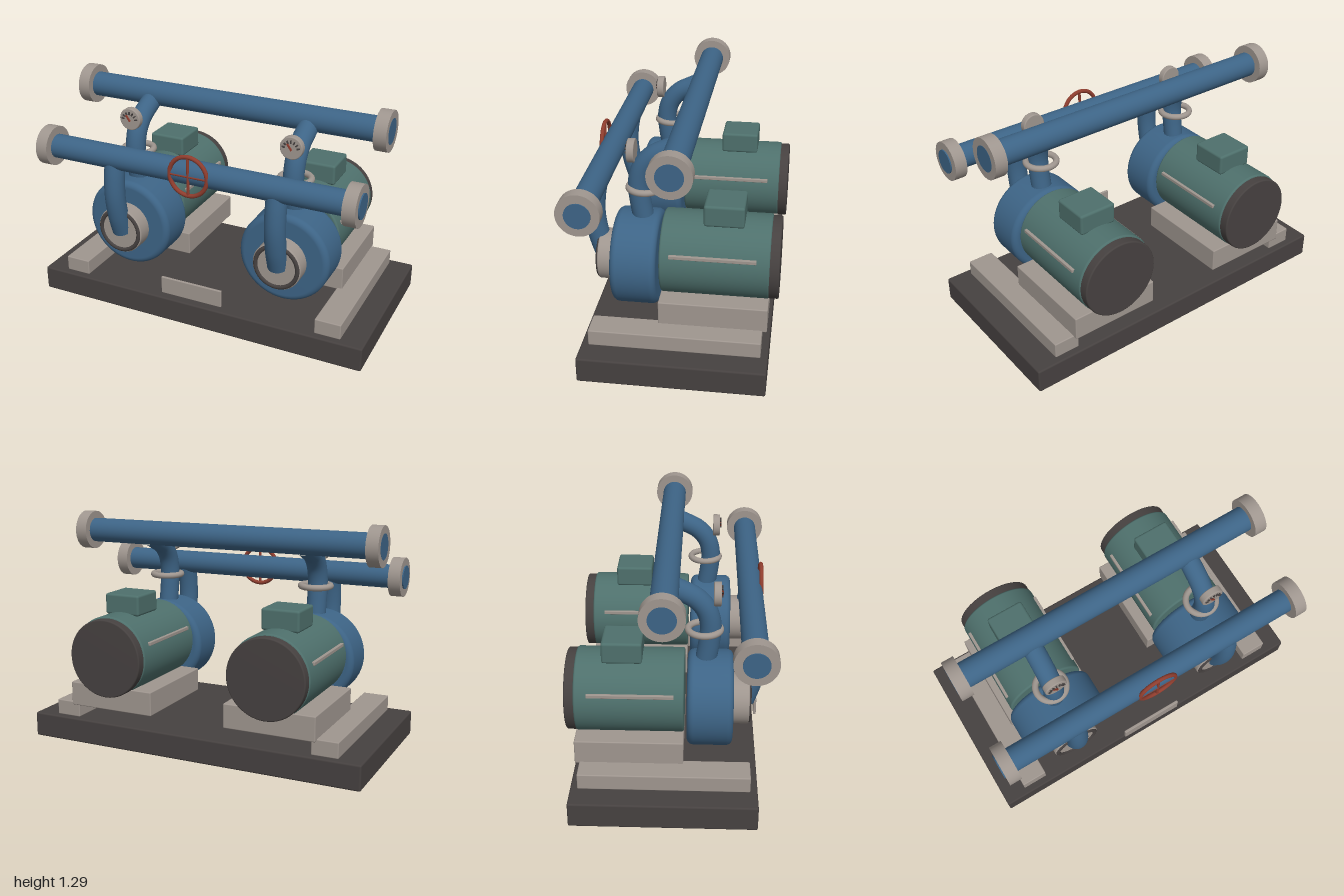
import * as THREE from 'three';
import { RoundedBoxGeometry } from 'three/addons/geometries/RoundedBoxGeometry.js';

const paint = (name, color) => Object.assign(new THREE.MeshStandardMaterial({ color }), { name });
const blue = paint('pipe blue', 0x3d6486);
const green = paint('motor green', 0x4e706c);
const grey = paint('warm grey', 0x9f968f);
const dark = paint('dark iron', 0x464140);
const red = paint('valve red', 0x8f3d2e);

function add(parent, name, geometry, material, x = 0, y = 0, z = 0) {
  const mesh = new THREE.Mesh(geometry, material);
  mesh.name = name;
  mesh.position.set(x, y, z);
  parent.add(mesh);
  return mesh;
}

// Box given by its limits on each axis
function box(parent, name, material, [x0, x1], [y0, y1], [z0, z1], r = 0.006) {
  const g = new RoundedBoxGeometry(x1 - x0, y1 - y0, z1 - z0, 2, r);
  return add(parent, name, g, material, (x0 + x1) / 2, (y0 + y1) / 2, (z0 + z1) / 2);
}

// Solid drum lying along z, with rounded rims
function drum(parent, name, material, radius, y, z0, z1, bevel) {
  const h = z1 - z0, pts = [new THREE.Vector2(0, 0)];
  for (let i = 0; i <= 6; i++) {
    const a = (i / 6) * Math.PI / 2;
    pts.push(new THREE.Vector2(radius - bevel + bevel * Math.sin(a), bevel - bevel * Math.cos(a)));
  }
  for (let i = 0; i <= 6; i++) {
    const a = (i / 6) * Math.PI / 2;
    pts.push(new THREE.Vector2(radius - bevel + bevel * Math.cos(a), h - bevel + bevel * Math.sin(a)));
  }
  pts.push(new THREE.Vector2(0, h));
  const mesh = add(parent, name, new THREE.LatheGeometry(pts, 56), material, 0, y, z0);
  mesh.rotation.x = Math.PI / 2;
  return mesh;
}

// Bent pipe in the yz plane, with a disc closing its first end
function bentPipe(parent, name, radius, points) {
  const curve = new THREE.CatmullRomCurve3(points.map(([y, z]) => new THREE.Vector3(0, y, z)));
  add(parent, name, new THREE.TubeGeometry(curve, 32, radius, 24), blue);
  const start = curve.getPoint(0);
  const cap = add(parent, name + 'End', new THREE.CircleGeometry(radius, 24), blue, start.x, start.y, start.z);
  cap.lookAt(start.clone().sub(curve.getTangent(0)));
}

// Long pipe along x with a flange at each end
function header(parent, name, y, z, radius, halfLength) {
  const group = new THREE.Group();
  group.name = name;
  group.position.set(0, y, z);
  parent.add(group);
  add(group, 'pipe', new THREE.CylinderGeometry(radius, radius, halfLength * 2, 40), blue).rotation.z = Math.PI / 2;
  for (const s of [-1, 1]) {
    add(group, 'flange', new THREE.CylinderGeometry(0.113, 0.113, 0.07, 48), grey, s * 0.9).rotation.z = Math.PI / 2;
  }
}

function gauge() {
  const group = new THREE.Group();
  group.name = 'pressureGauge';
  drum(group, 'gaugeCase', grey, 0.064, 0, -0.02, 0.02, 0.006);
  // Tick marks over the upper arc
  for (let i = 0; i < 7; i++) {
    const a = Math.PI * (0.08 + 0.84 * i / 6);
    const tick = add(group, 'tick', new THREE.BoxGeometry(0.016, 0.007, 0.009), dark,
      0.043 * Math.cos(a), 0.043 * Math.sin(a) - 0.006, 0.023);
    tick.rotation.z = a;
  }
  const needle = add(group, 'needle', new THREE.BoxGeometry(0.008, 0.044, 0.009), red, -0.008, 0.008, 0.025);
  needle.rotation.z = 0.6;
  return group;
}

function pumpSet() {
  const g = new THREE.Group();
  g.name = 'pumpSet';
  box(g, 'plinth', grey, [-0.262, 0.262], [0.22, 0.358], [-0.5, 0.08]);

  // Pump casing and suction port
  drum(g, 'pumpCasing', blue, 0.261, 0.492, 0.095, 0.34, 0.035);
  drum(g, 'suctionPort', grey, 0.139, 0.488, 0.33, 0.428, 0.008);
  add(g, 'suctionSeal', new THREE.TorusGeometry(0.121, 0.013, 12, 48), dark, 0, 0.488, 0.425);

  // Motor
  drum(g, 'motorBody', green, 0.229, 0.535, -0.5, 0.08, 0.012);
  drum(g, 'motorEndCover', dark, 0.223, 0.532, -0.55, -0.49, 0.008);
  box(g, 'terminalBox', green, [-0.109, 0.109], [0.745, 0.865], [-0.357, -0.142], 0.014);
  for (const s of [-1, 1]) {
    box(g, 'motorTrimStrip', grey, [s * 0.218 - 0.009, s * 0.218 + 0.009], [0.605, 0.625], [-0.43, 0.027], 0.003);
  }

  // Suction and discharge bends
  bentPipe(g, 'suctionBend', 0.058, [[0.484, 0.402], [0.6, 0.438], [0.72, 0.457], [0.83, 0.453], [0.95, 0.432]]);
  bentPipe(g, 'dischargeBend', 0.057,
    [[0.72, 0.19], [0.83, 0.207], [0.93, 0.214], [1.02, 0.19], [1.085, 0.135], [1.125, 0.06], [1.16, -0.02]]);
  add(g, 'riserCollar', new THREE.TorusGeometry(0.085, 0.018, 14, 48), grey, 0, 0.906, 0.181).rotation.x = Math.PI / 2;

  const dial = gauge();
  dial.position.set(0, 1.11, 0.247);
  g.add(dial);
  return g;
}

export function createModel() {
  const model = new THREE.Group();
  model.name = 'twinPumpSkid';

  // Base slab, side rails and front plate
  box(model, 'base', dark, [-1, 1], [0, 0.142], [-0.515, 0.475], 0.01);
  for (const s of [-1, 1]) {
    box(model, 'sideRail', grey, [s * 0.791 - 0.075, s * 0.791 + 0.075], [0.14, 0.23], [-0.476, 0.436]);
    const pump = pumpSet();
    pump.position.x = s * 0.485;
    model.add(pump);
  }
  box(model, 'frontPlate', grey, [-0.187, 0.187], [0.188, 0.29], [0.476, 0.492], 0.004);

  // Shared headers
  header(model, 'dischargeHeader', 1.18, -0.02, 0.071, 0.936);
  header(model, 'suctionHeader', 0.948, 0.434, 0.068, 0.942);

  // Handwheel on the suction header
  const wheel = new THREE.Group();
  wheel.name = 'handwheel';
  wheel.position.set(0, 0.948, 0.494);
  model.add(wheel);
  add(wheel, 'rim', new THREE.TorusGeometry(0.111, 0.012, 12, 48), red);
  for (const a of [0, Math.PI / 2]) {
    add(wheel, 'spoke', new THREE.CylinderGeometry(0.008, 0.008, 0.222, 12), red, 0, 0, 0.002).rotation.z = a;
  }
  return model;
}
